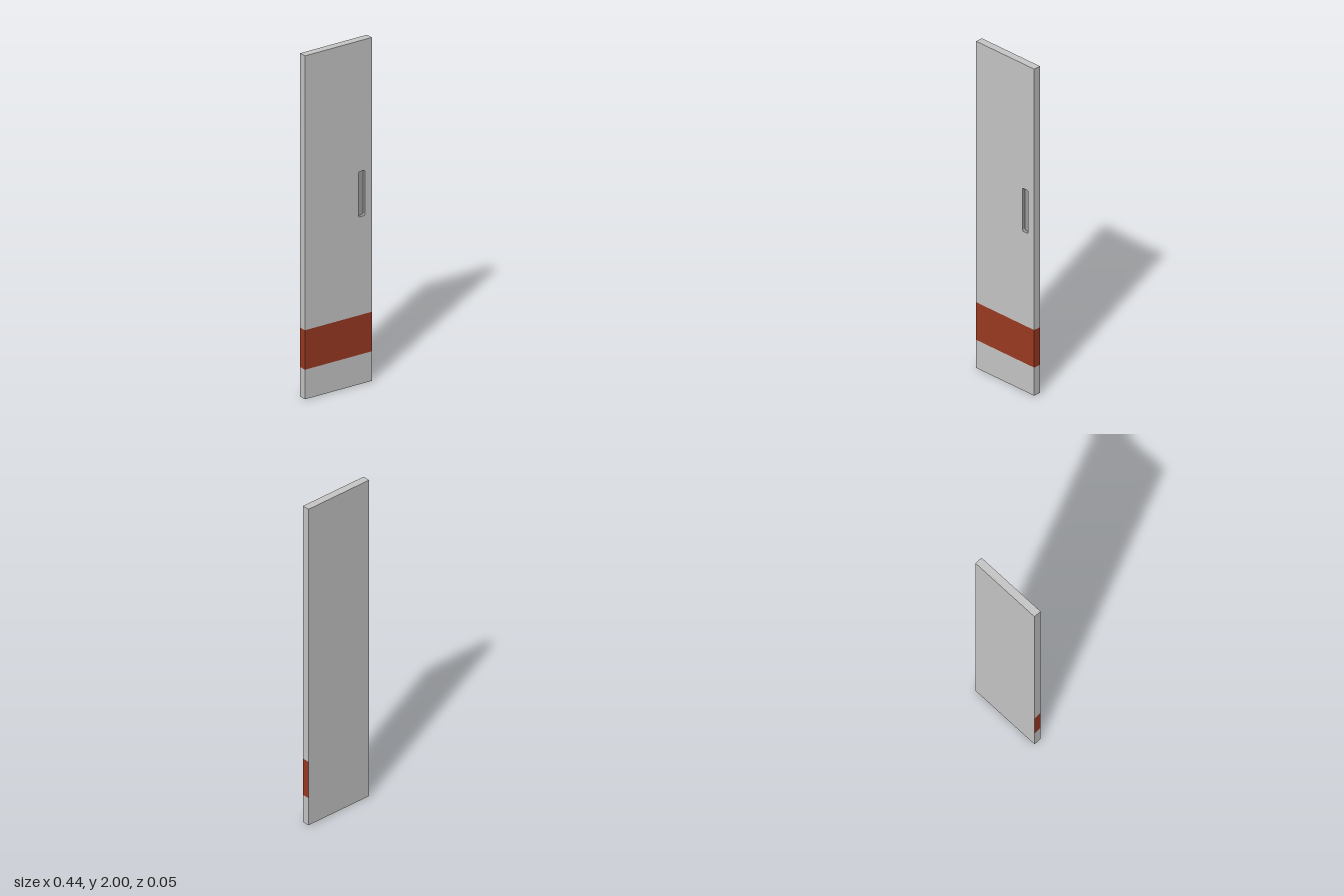
import * as THREE from 'three';

const W = 0.22, D = 0.0225, H = 2;          // half width, half thickness, height
const BANDS = [0, 0.172, 0.402, H];         // heights where the colour changes
const RECESS = 0.02;                        // depth of the finger pull

const paint = (name, color) => {
  const m = new THREE.MeshStandardMaterial({ color });
  m.name = name;
  return m;
};

// Upright slot with small rounded corners, counter-clockwise
function slotPoints(x0, x1, y0, y1, r) {
  const pts = [];
  const corners = [[x1 - r, y0 + r, -1], [x1 - r, y1 - r, 0], [x0 + r, y1 - r, 1], [x0 + r, y0 + r, 2]];
  for (const [cx, cy, q] of corners) {
    for (let i = 0; i <= 4; i++) {
      const a = (q + i / 4) * Math.PI / 2;
      pts.push(new THREE.Vector2(cx + r * Math.cos(a), cy + r * Math.sin(a)));
    }
  }
  return pts;
}

// Walls of the recess, facing inwards
function recessWalls(pts) {
  const pos = [];
  pts.forEach((p, i) => {
    const q = pts[(i + 1) % pts.length], f = D, b = D - RECESS;
    pos.push(p.x, p.y, f, q.x, q.y, f, p.x, p.y, b);
    pos.push(q.x, q.y, f, q.x, q.y, b, p.x, p.y, b);
  });
  const g = new THREE.BufferGeometry();
  g.setAttribute('position', new THREE.Float32BufferAttribute(pos, 3));
  g.computeVertexNormals();
  return g;
}

export function createModel() {
  const grey = paint('light grey', 0xc8c8c8);
  const red = paint('rust red', 0x9c3a22);
  const dark = paint('mid grey', 0x9e9e9e);
  const model = new THREE.Group();
  model.name = 'doorPanel';

  const add = (name, geometry, material, x = 0, y = 0, z = 0, rx = 0, ry = 0) => {
    const mesh = new THREE.Mesh(geometry, material);
    mesh.name = name;
    mesh.position.set(x, y, z);
    mesh.rotation.set(rx, ry, 0);
    model.add(mesh);
  };
  const slot = slotPoints(0.131, 0.175, 0.974, 1.238, 0.01);

  // Front and both edges, split into plinth, stripe and upper panel
  ['lower', 'stripe', 'upper'].forEach((name, i) => {
    const y0 = BANDS[i], y1 = BANDS[i + 1], h = y1 - y0, mid = (y0 + y1) / 2;
    const mat = i === 1 ? red : grey;
    const face = new THREE.Shape([[-W, y0], [W, y0], [W, y1], [-W, y1]].map(p => new THREE.Vector2(...p)));
    if (i === 2) face.holes.push(new THREE.Path(slot.slice().reverse()));
    add(name + 'Front', new THREE.ShapeGeometry(face), mat, 0, 0, D);
    for (const s of [-1, 1]) {
      add(name + (s > 0 ? 'LeftEdge' : 'RightEdge'), new THREE.PlaneGeometry(2 * D, h), mat, s * W, mid, 0, 0, s * Math.PI / 2);
    }
  });

  // Plain back, top and bottom
  add('back', new THREE.PlaneGeometry(2 * W, H), grey, 0, H / 2, -D, 0, Math.PI);
  add('topEdge', new THREE.PlaneGeometry(2 * W, 2 * D), grey, 0, H, 0, -Math.PI / 2);
  add('bottomEdge', new THREE.PlaneGeometry(2 * W, 2 * D), grey, 0, 0, 0, Math.PI / 2);

  // Recessed finger pull
  add('pullFloor', new THREE.ShapeGeometry(new THREE.Shape(slot)), dark, 0, 0, D - RECESS);
  add('pullWalls', recessWalls(slot), dark);
  return model;
}
